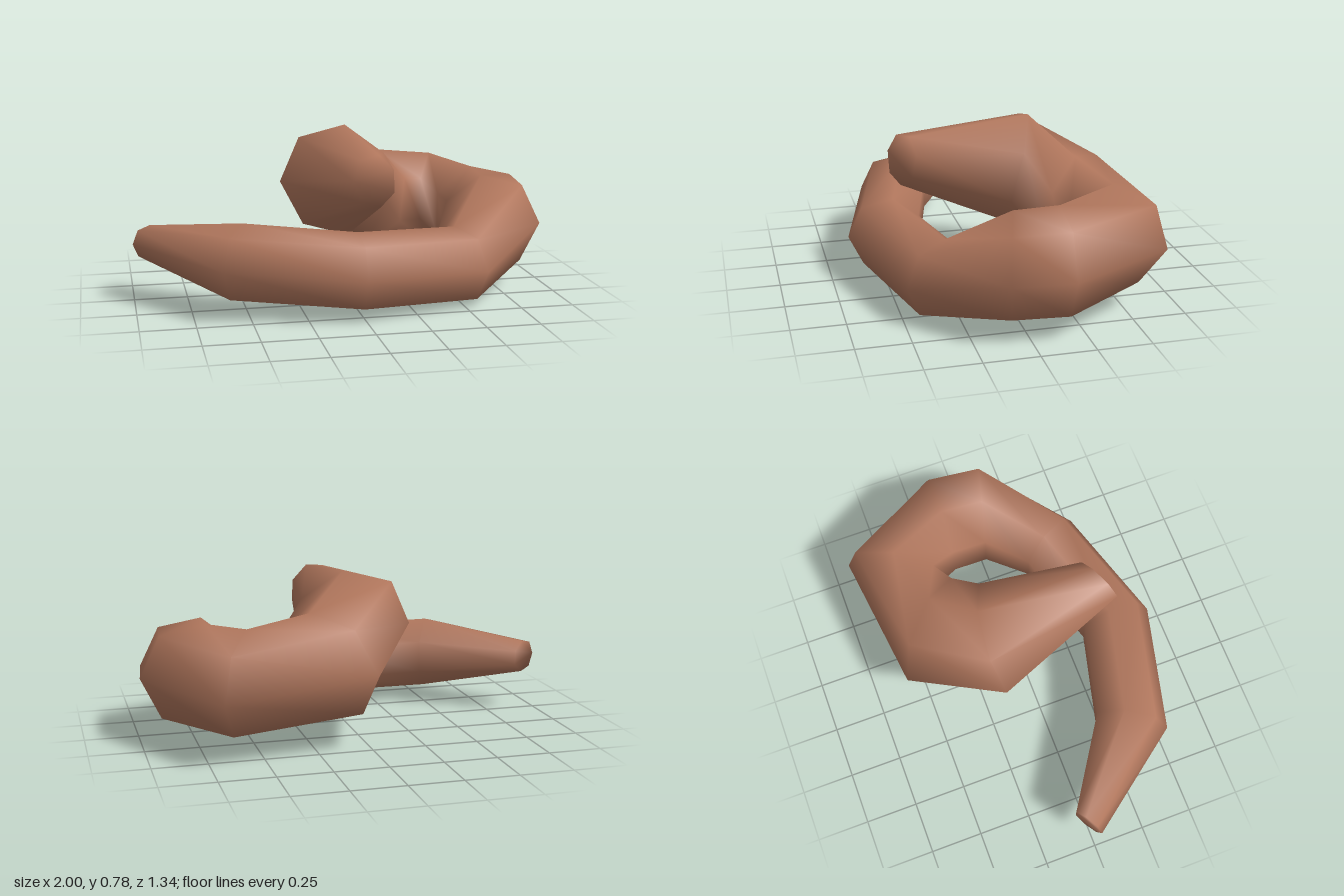
import * as THREE from 'three';

const SIDES = 7;

// Cross-sections from the thin tail to the blunt tip:
// centre, radius toward the outside of the coil, radius upward
const RINGS = [
  [[-0.932, 0.275, -0.022], [-0.068, 0, 0.042], [0, 0.08, 0]],
  [[-0.54, 0.245, 0.352], [-0.09, 0, 0.158], [0, 0.18, 0]],
  [[-0.015, 0.21, 0.485], [0, 0, 0.18], [0, 0.18, 0]],
  [[0.5, 0.178, 0.332], [0.09, 0, 0.158], [0, 0.182, 0]],
  [[0.738, 0.31, 0.057], [0.232, 0, 0.063], [0, 0.24, 0]],
  [[0.753, 0.315, -0.162], [0.247, 0, 0.005], [0, 0.245, 0]],
  [[0.579, 0.34, -0.459], [0.121, -0.04, -0.211], [0.01, 0.237, -0.04]],
  [[0.19, 0.375, -0.395], [-0.19, -0.01, -0.195], [0.03, 0.25, -0.02]],
  [[-0.002, 0.52, -0.138], [-0.268, -0.01, -0.042], [0, 0.264, -0.07]],
  [[0.07, 0.608, 0.413], [-0.11, 0.012, 0.047], [0, 0.118, -0.023]],
];

function coilGeometry() {
  const positions = [];
  const index = [];
  for (const [c, out, up] of RINGS) {
    for (let j = 0; j < SIDES; j++) {
      const a = (j / SIDES) * Math.PI * 2;
      for (let k = 0; k < 3; k++) {
        positions.push(c[k] + out[k] * Math.cos(a) + up[k] * Math.sin(a));
      }
    }
  }
  // Skin between neighbouring rings
  for (let i = 0; i < RINGS.length - 1; i++) {
    for (let j = 0; j < SIDES; j++) {
      const n = (j + 1) % SIDES;
      const a = i * SIDES + j, b = i * SIDES + n;
      const c = a + SIDES, d = b + SIDES;
      index.push(a, c, b, b, c, d);
    }
  }
  // Flat ends
  const last = (RINGS.length - 1) * SIDES;
  for (let j = 1; j < SIDES - 1; j++) {
    index.push(0, j, j + 1, last, last + j + 1, last + j);
  }
  const geometry = new THREE.BufferGeometry();
  geometry.setAttribute('position', new THREE.Float32BufferAttribute(positions, 3));
  geometry.setIndex(index);
  geometry.computeVertexNormals();
  return geometry;
}

export function createModel() {
  const group = new THREE.Group();
  group.name = 'coil';
  const brown = new THREE.MeshStandardMaterial({ color: 0xb0765c });
  brown.name = 'warm brown';
  const body = new THREE.Mesh(coilGeometry(), brown);
  body.name = 'coiledBody';
  group.add(body);
  return group;
}
